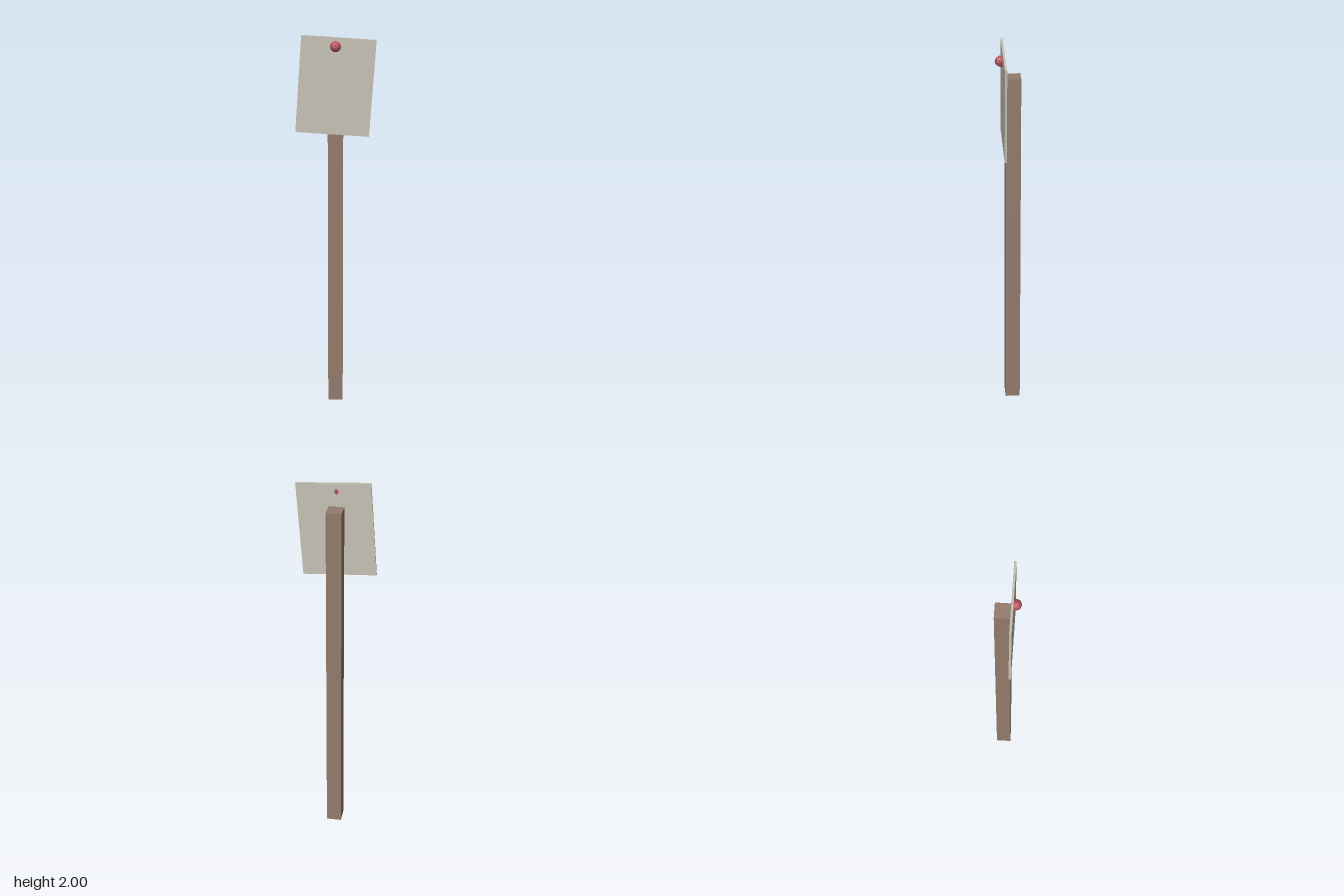
import * as THREE from 'three';

export function createModel() {
  const model = new THREE.Group();
  model.name = 'noticePost';

  const material = (name, color) => {
    const m = new THREE.MeshStandardMaterial({ color, flatShading: true });
    m.name = name;
    return m;
  };
  const add = (name, geometry, mat, x, y, z) => {
    const mesh = new THREE.Mesh(geometry, mat);
    mesh.name = name;
    mesh.position.set(x, y, z);
    model.add(mesh);
    return mesh;
  };

  const wood = material('brownWood', 0x937b6c);
  const paper = material('palePaper', 0xc6c1b4);
  const red = material('redPin', 0xb5505c);

  // square wooden post, standing slightly behind centre
  add('post', new THREE.BoxGeometry(0.078, 1.866, 0.078), wood, 0, 0.933, -0.026);

  // thin notice sheet, tilted clockwise on the front of the post
  const sheet = add('noticeSheet', new THREE.BoxGeometry(0.37, 0.493, 0.011), paper, 0, 1.7415, 0.0185);
  sheet.rotation.z = -0.069;

  // round pin head, pushed through the sheet above the post
  add('pinHead', new THREE.SphereGeometry(0.027, 8, 6), red, 0, 1.946, 0.035);

  return model;
}
